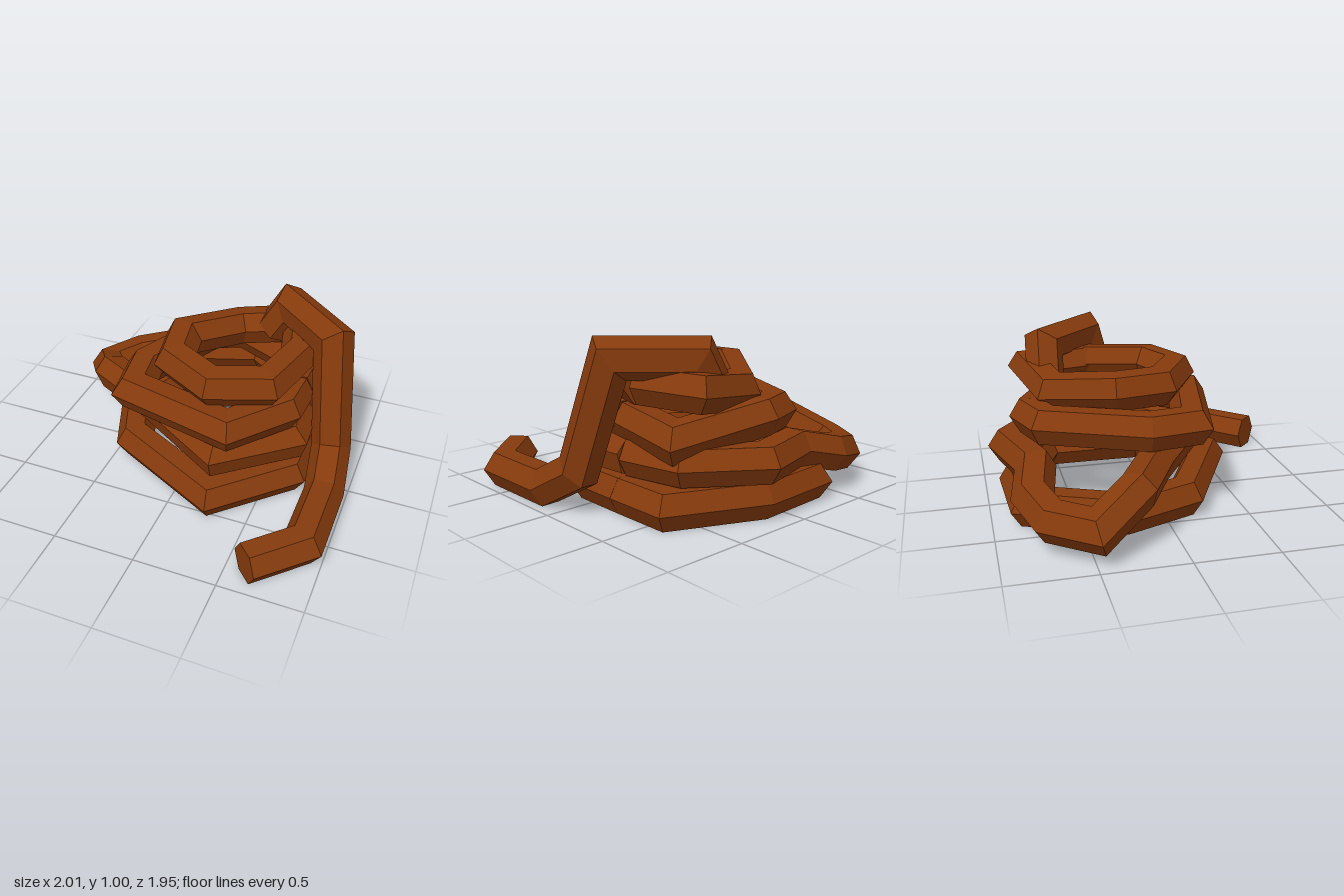
import * as THREE from 'three';

const RADIUS = 0.12;
const SIDES = 6;

// Sweep a flat-topped hexagon along a polyline, carrying it through a mitred joint at each corner.
function ropeGeometry(path) {
  const pts = path.map((p) => new THREE.Vector3(...p));
  const last = pts.length - 1;
  const dirs = pts.slice(1).map((p, i) => p.clone().sub(pts[i]).normalize());
  const side = new THREE.Vector3(0, 1, 0).cross(dirs[0]).normalize();
  const over = new THREE.Vector3().crossVectors(dirs[0], side);
  let offsets = Array.from({ length: SIDES }, (_, k) => {
    const ang = (k / SIDES) * Math.PI * 2;
    return side.clone().multiplyScalar(Math.cos(ang) * RADIUS)
      .addScaledVector(over, Math.sin(ang) * RADIUS);
  });
  const rings = pts.map((p, i) => {
    const into = dirs[Math.max(i - 1, 0)];
    const mitre = into.clone().add(dirs[Math.min(i, last - 1)]).normalize();
    offsets = offsets.map((o) => o.clone().addScaledVector(into, -o.dot(mitre) / into.dot(mitre)));
    return offsets.map((o) => o.clone().add(p));
  });
  const out = [];
  const tri = (...v) => v.forEach((q) => out.push(q.x, q.y, q.z));
  for (let i = 0; i < last; i++) {
    for (let k = 0; k < SIDES; k++) {
      const n = (k + 1) % SIDES;
      tri(rings[i][k], rings[i][n], rings[i + 1][n]);
      tri(rings[i][k], rings[i + 1][n], rings[i + 1][k]);
    }
  }
  // End caps
  for (let k = 1; k < SIDES - 1; k++) {
    tri(rings[0][0], rings[0][k + 1], rings[0][k]);
    tri(rings[last][0], rings[last][k], rings[last][k + 1]);
  }
  const g = new THREE.BufferGeometry();
  g.setAttribute('position', new THREE.Float32BufferAttribute(out, 3));
  g.computeVertexNormals();
  return g;
}

export function createModel() {
  const group = new THREE.Group();
  group.name = 'coiledRope';
  const material = new THREE.MeshStandardMaterial({
    color: 0x853a0c, flatShading: true, side: THREE.DoubleSide,
  });

  // Free end lying on the ground, rising and bending over into the coil
  const tail = [
    [0.62, 0.105, 0.885], [0.88, 0.105, 0.63], [0.88, 0.105, 0.17],
    [0.845, 0.25, -0.09], [0.755, 0.885, -0.27], [0.41, 0.885, -0.58],
    [0.3, 0.69, -0.59],
  ];
  // Smallest turn, on top, dipping where the tail drops into it
  const topTurn = [
    [0.555, 0.725, -0.3], [0.47, 0.725, -0.66], [0.08, 0.67, -0.57], [-0.18, 0.725, -0.23],
    [-0.13, 0.725, 0.04], [0.17, 0.725, 0.21], [0.46, 0.725, 0.1], [0.555, 0.725, -0.3],
  ];
  // Second turn, sinking at the back corner
  const upperTurn = [
    [0.57, 0.52, -0.2], [0.57, 0.46, -0.58], [0.06, 0.54, -0.72], [-0.13, 0.535, -0.65],
    [-0.39, 0.535, -0.08], [-0.35, 0.535, 0.18], [0.31, 0.535, 0.335],
    [0.56, 0.535, 0.03], [0.57, 0.52, -0.2],
  ];
  // Third turn with the loose loop thrown out to one side
  const lowerTurn = [
    [0.59, 0.32, -0.25], [0.52, 0.32, -0.59], [0.16, 0.32, -0.845], [-0.22, 0.31, -0.73],
    [-0.49, 0.24, -0.78], [-0.71, 0.19, -0.7], [-0.865, 0.18, -0.48], [-0.71, 0.32, -0.23],
    [-0.36, 0.32, -0.05], [0.24, 0.32, 0.325], [0.61, 0.32, 0.02], [0.59, 0.32, -0.25],
  ];
  // Widest turn on the ground
  const baseTurn = [
    [0.635, 0.105, -0.25], [0.635, 0.105, -0.58], [0.14, 0.105, -0.8], [-0.3, 0.105, -0.78],
    [-0.53, 0.105, -0.26], [-0.38, 0.105, 0.13], [0.25, 0.105, 0.45],
    [0.63, 0.105, 0.08], [0.635, 0.105, -0.25],
  ];

  const parts = { tail, topTurn, upperTurn, lowerTurn, baseTurn };
  for (const [name, path] of Object.entries(parts)) {
    const mesh = new THREE.Mesh(ropeGeometry(path), material);
    mesh.name = name;
    group.add(mesh);
  }
  return group;
}
